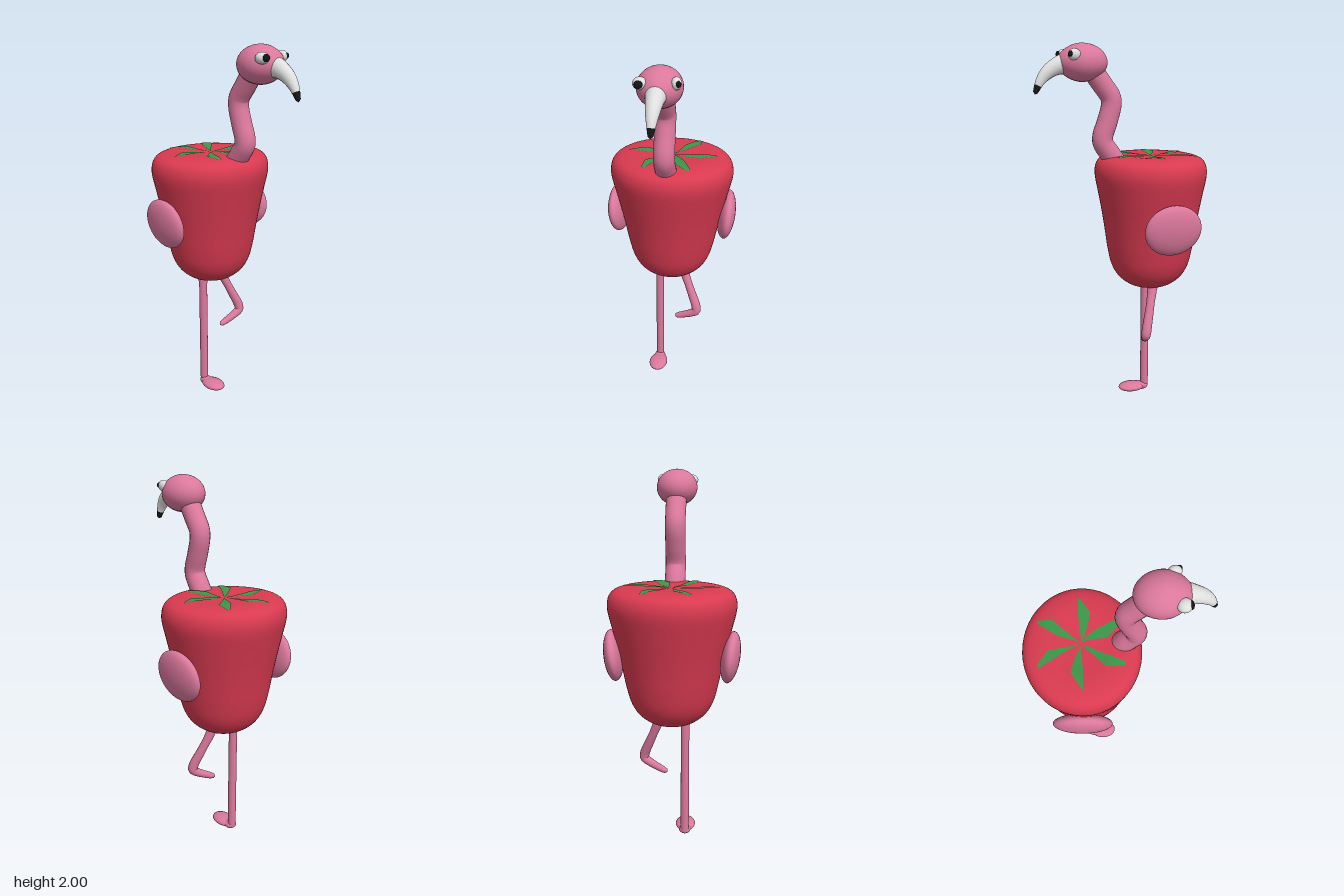
import * as THREE from 'three';

const V = (x, y, z) => new THREE.Vector3(x, y, z);
const material = (name, color, extra = {}) => {
  const m = new THREE.MeshStandardMaterial({ color, ...extra });
  m.name = name;
  return m;
};

// Piecewise-linear lookup in a list of [key, value] pairs
function lookup(pairs, k) {
  for (let i = 1; i < pairs.length; i++) {
    const [a, va] = pairs[i - 1], [b, vb] = pairs[i];
    if (k <= b) return va + (vb - va) * (k - a) / (b - a);
  }
  return pairs[pairs.length - 1][1];
}

// Round tube whose radius follows [position along tube, radius] pairs
function taperedTube(points, radii, segments = 48, sides = 20) {
  const curve = new THREE.CatmullRomCurve3(points, false, 'centripetal');
  const geo = new THREE.TubeGeometry(curve, segments, 1, sides, false);
  const pos = geo.attributes.position, v = V(0, 0, 0);
  for (let i = 0; i <= segments; i++) {
    const c = curve.getPointAt(i / segments), r = lookup(radii, i / segments);
    for (let j = 0; j <= sides; j++) {
      const n = i * (sides + 1) + j;
      v.fromBufferAttribute(pos, n).sub(c).multiplyScalar(r).add(c);
      pos.setXYZ(n, v.x, v.y, v.z);
    }
  }
  return geo;
}

export function createModel() {
  const model = new THREE.Group();
  const red = material('body red', 0xd93a50);
  const pink = material('flamingo pink', 0xdb789c);
  const green = material('leaf green', 0x3c9648, { side: THREE.DoubleSide });
  const white = material('beak white', 0xdedede);
  const black = material('black', 0x141414);

  function add(name, geo, mat) {
    const mesh = new THREE.Mesh(geo, mat);
    mesh.name = name;
    model.add(mesh);
    return mesh;
  }
  function ellipsoid(name, mat, center, radii, rotation = [0, 0, 0]) {
    const mesh = add(name, new THREE.SphereGeometry(1, 36, 24), mat);
    mesh.position.set(...center);
    mesh.scale.set(...radii);
    mesh.rotation.set(...rotation);
    return mesh;
  }

  // Body: bell-pepper shaped lathe, narrower in depth toward the top
  const bodyZ = -0.167;
  const profile = new THREE.SplineCurve([
    [0, 0.682], [0.08, 0.684], [0.13, 0.7], [0.185, 0.745], [0.222, 0.81], [0.246, 0.9],
    [0.266, 1.0], [0.288, 1.1], [0.312, 1.2], [0.335, 1.3], [0.333, 1.355], [0.312, 1.392],
    [0.27, 1.411], [0.2, 1.418], [0.1, 1.412], [0, 1.408],
  ].map(p => new THREE.Vector2(...p))).getPoints(75);
  profile.forEach(p => { p.x = Math.max(p.x, 0); });
  const depth = y => 0.98 - 0.08 * THREE.MathUtils.smoothstep(y, 0.7, 1.3);
  const bodyGeo = new THREE.LatheGeometry(profile, 64);
  const bp = bodyGeo.attributes.position;
  for (let i = 0; i < bp.count; i++) bp.setZ(i, bp.getZ(i) * depth(bp.getY(i)));
  add('body', bodyGeo, red).position.z = bodyZ;

  // Leaves: thin patches draped on the top, each between two edges from root to tip
  const lid = profile.filter(p => p.y > 1.37).map(p => [p.x, p.y]).reverse();
  const topY = (x, z) => lookup(lid, Math.hypot(x, (z - bodyZ) / 0.9)) + 0.004;
  const leaves = [
    [[[0, -0.175], [-0.017, -0.216], [-0.042, -0.26], [-0.114, -0.385]],
      [[0, -0.175], [-0.007, -0.216], [-0.02, -0.33], [-0.094, -0.392]]],
    [[[0.008, -0.175], [0.025, -0.206], [0.055, -0.29], [0.127, -0.38]],
      [[0.008, -0.175], [0.04, -0.206], [0.139, -0.305], [0.144, -0.38]]],
    [[[0.01, -0.166], [0.045, -0.168], [0.164, -0.174], [0.25, -0.168]],
      [[0.01, -0.162], [0.089, -0.132], [0.164, -0.112], [0.24, -0.153]]],
    [[[0.005, -0.16], [0.035, -0.146], [0.074, -0.087], [0.127, 0.037]],
      [[0.005, -0.16], [0.017, -0.146], [0.022, -0.037], [0.1, 0.047]]],
    [[[-0.005, -0.16], [-0.032, -0.141], [-0.127, -0.055], [-0.131, 0.037]],
      [[-0.005, -0.16], [-0.012, -0.141], [-0.055, -0.067], [-0.114, 0.045]]],
    [[[-0.01, -0.17], [-0.077, -0.206], [-0.146, -0.231], [-0.246, -0.178]],
      [[-0.01, -0.167], [-0.042, -0.173], [-0.146, -0.168], [-0.246, -0.176]]],
  ];
  for (const edges of leaves) {
    const at = (edge, u) => {
      const i = Math.min(Math.floor(u * 3), 2), f = u * 3 - i;
      return [0, 1].map(k => edge[i][k] + (edge[i + 1][k] - edge[i][k]) * f);
    };
    const geo = new THREE.PlaneGeometry(1, 1, 4, 15);
    const pos = geo.attributes.position;
    for (let i = 0; i < pos.count; i++) {
      const s = pos.getX(i) + 0.5, u = pos.getY(i) + 0.5;
      const a = at(edges[0], u), b = at(edges[1], u);
      const x = a[0] + (b[0] - a[0]) * s, z = a[1] + (b[1] - a[1]) * s;
      pos.setXYZ(i, x, topY(x, z), z);
    }
    geo.computeVertexNormals();
    add('leaf', geo, green);
  }

  // Wings: flat ovals leaning along the body sides
  for (const s of [1, -1]) {
    ellipsoid(s > 0 ? 'leftWing' : 'rightWing', pink, [s * 0.307, 1.057, -0.197],
      [0.05, 0.135, 0.158], [0, s * 0.08, -s * 0.12]);
  }

  // Neck: zigzag tube flaring into the body
  add('neck', taperedTube([
    V(0, 1.37, 0.03), V(0, 1.42, 0.055), V(0, 1.485, 0.098), V(0, 1.52, 0.1), V(0, 1.6, 0.074),
    V(0, 1.685, 0.052), V(0, 1.725, 0.056), V(0, 1.79, 0.1), V(0, 1.86, 0.15),
  ], [[0, 0.066], [0.1, 0.056], [0.6, 0.054], [1, 0.056]]), pink);

  // Head: egg tapering toward the beak
  const headGeo = new THREE.SphereGeometry(1, 40, 28);
  const hp = headGeo.attributes.position;
  for (let i = 0; i < hp.count; i++) {
    const z = hp.getZ(i), k = 1 - 0.16 * Math.max(z, 0) ** 2;
    hp.setXYZ(i, hp.getX(i) * 0.111 * k, hp.getY(i) * 0.098 * k, z * 0.133);
  }
  headGeo.computeVertexNormals();
  add('head', headGeo, pink).position.set(0, 1.902, 0.207);

  // Beak: hooked taper, with a black end
  const beakGeo = taperedTube([
    V(0, 1.898, 0.29), V(0, 1.882, 0.34), V(0, 1.852, 0.388), V(0, 1.81, 0.424),
    V(0, 1.77, 0.444), V(0, 1.742, 0.455),
  ], [[0, 0.056], [0.25, 0.043], [0.5, 0.034], [0.8, 0.02], [0.95, 0.013], [1, 0]], 40, 20);
  const split = 32 * 20 * 6;
  beakGeo.addGroup(0, split, 0);
  beakGeo.addGroup(split, beakGeo.index.count - split, 1);
  add('beak', beakGeo, [white, black]);

  // Eyes: slightly uneven white bulges with black pupils
  ellipsoid('leftEye', white, [0.086, 1.94, 0.264], [0.025, 0.03, 0.032]);
  ellipsoid('leftPupil', black, [0.097, 1.943, 0.285], [0.014, 0.015, 0.013]);
  ellipsoid('rightEye', white, [-0.078, 1.94, 0.287], [0.034, 0.029, 0.035]);
  ellipsoid('rightPupil', black, [-0.08, 1.942, 0.316], [0.021, 0.019, 0.012]);

  // Standing leg and foot
  add('standingLeg', taperedTube([V(-0.07, 0.73, -0.163), V(-0.07, 0.4, -0.163), V(-0.07, 0.02, -0.163)],
    [[0, 0.05], [0.08, 0.026], [0.12, 0.023], [0.93, 0.023], [1, 0.022]]), pink);
  ellipsoid('foot', pink, [-0.07, 0.026, -0.085], [0.055, 0.025, 0.078]);
  ellipsoid('heel', pink, [-0.07, 0.026, -0.145], [0.034, 0.024, 0.04]);

  // Raised leg, folded at the knee
  add('raisedLeg', taperedTube([
    V(0.06, 0.73, -0.172), V(0.085, 0.65, -0.155), V(0.125, 0.55, -0.128), V(0.158, 0.465, -0.104),
    V(0.16, 0.435, -0.1), V(0.13, 0.412, -0.106), V(0.075, 0.385, -0.118), V(0.028, 0.365, -0.128),
  ], [[0, 0.045], [0.12, 0.027], [0.3, 0.023], [0.62, 0.027], [0.75, 0.023], [0.94, 0.018], [0.98, 0.013], [1, 0]]), pink);

  return model;
}
